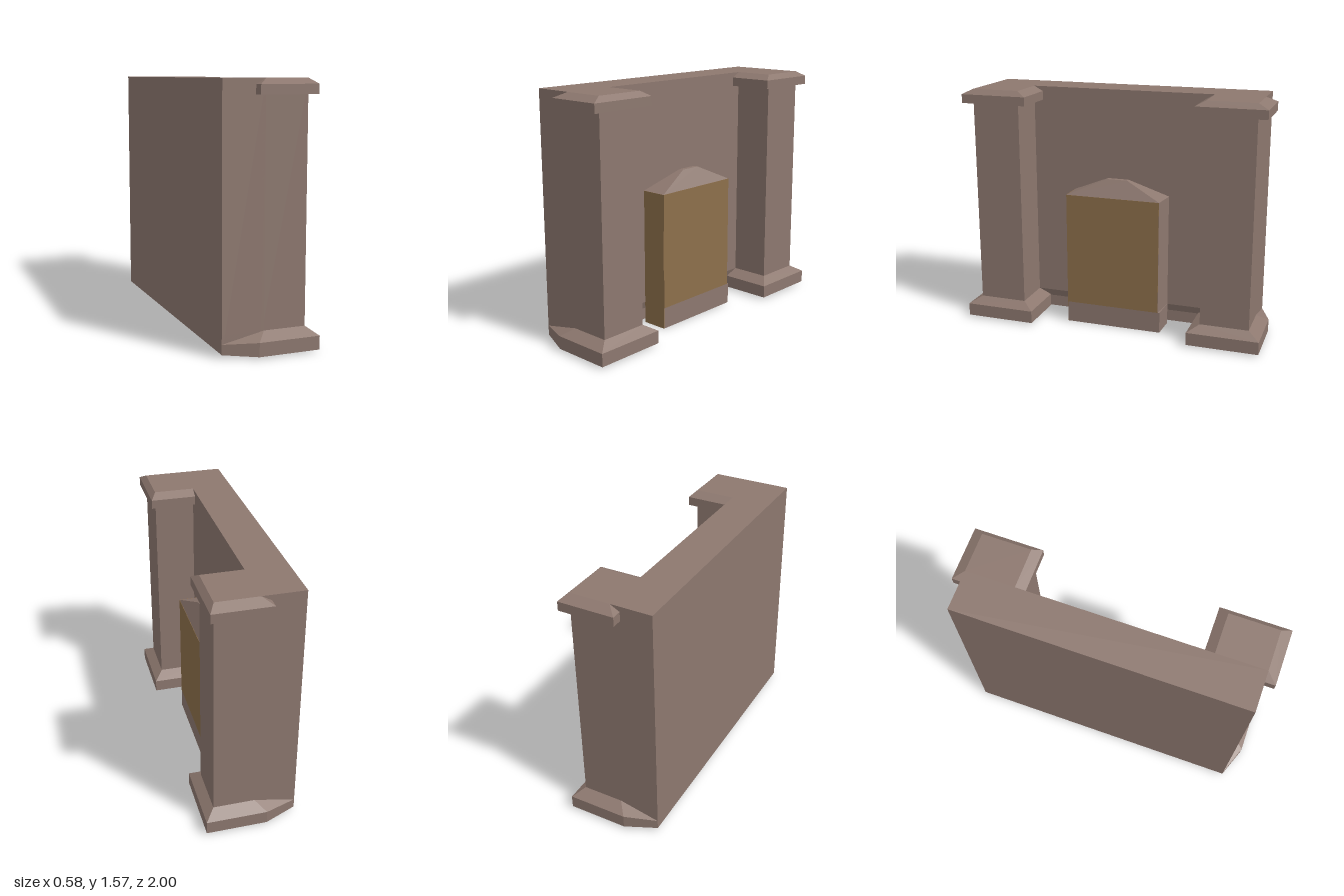
import * as THREE from 'three';

const stone = new THREE.MeshStandardMaterial({ color: 0x8d786f, flatShading: true });
const wood = new THREE.MeshStandardMaterial({ color: 0x8d6f4b, flatShading: true });

// Closed solid through rings of [x, y, z] corners, listed from bottom to top
function loft(rings) {
  const pos = [], first = rings[0], n = first.length;
  let area = 0;
  first.forEach((p, i) => {
    const q = first[(i + 1) % n];
    area += p[0] * q[2] - q[0] * p[2];
  });
  const tri = (a, b, c) => (area > 0 ? pos.push(...a, ...c, ...b) : pos.push(...a, ...b, ...c));
  for (let r = 0; r < rings.length - 1; r++) {
    const a = rings[r], b = rings[r + 1];
    for (let i = 0; i < n; i++) {
      const j = (i + 1) % n;
      tri(a[i], a[j], b[j]);
      tri(a[i], b[j], b[i]);
    }
  }
  const top = rings[rings.length - 1];
  for (let i = 1; i < n - 1; i++) {
    tri(first[0], first[i + 1], first[i]);
    tri(top[0], top[i], top[i + 1]);
  }
  const g = new THREE.BufferGeometry();
  g.setAttribute('position', new THREE.Float32BufferAttribute(pos, 3));
  g.computeVertexNormals();
  return g;
}

const rect = (x0, x1, z0, z1, y) => [[x0, y, z1], [x1, y, z1], [x1, y, z0], [x0, y, z0]];

export function createModel() {
  const model = new THREE.Group();
  const add = (name, geometry, material = stone, parent = model) => {
    const mesh = new THREE.Mesh(geometry, material);
    mesh.name = name;
    parent.add(mesh);
    return mesh;
  };

  // Back wall, with a small undercut along its foot
  const profile = new THREE.Shape([
    [-0.29, 0.025], [-0.09, 0.012], [-0.05, 0.015], [-0.05, 0.09],
    [-0.03, 0.14], [-0.03, 1.57], [-0.29, 1.57],
  ].map(([x, y]) => new THREE.Vector2(x, y)));
  const wall = new THREE.ExtrudeGeometry(profile, { depth: 1.85, bevelEnabled: false });
  add('backWall', wall.translate(0, 0, -0.925));

  // Pillars with bevelled foot and cap, one at each end
  for (const s of [1, -1]) {
    const pillar = new THREE.Group();
    pillar.name = s > 0 ? 'leftPillar' : 'rightPillar';
    model.add(pillar);
    const side = (rings) => loft(rings.map((ring) => ring.map(([x, y, z]) => [x, y, z * s])));

    add('pillarShaft', side([
      rect(-0.05, 0.23, 0.61, 0.925, 0.1),
      rect(-0.05, 0.23, 0.61, 0.925, 1.569),
    ]), stone, pillar);

    // The foot tapers into the wall's rear corner
    const foot = (rear, y) => [
      [-0.29, rear, 0.925], [-0.09, y, 1], [0.29, y, 1],
      [0.29, y, 0.535], [-0.09, y, 0.535], [-0.29, rear, 0.535],
    ];
    add('pillarFoot', side([
      foot(0.025, 0.012),
      foot(0.085, 0.095),
      [[-0.29, 0.14, 0.925], [-0.03, 0.14, 0.925], [0.23, 0.14, 0.925],
        [0.23, 0.14, 0.61], [-0.03, 0.14, 0.61], [-0.29, 0.14, 0.61]],
    ]), stone, pillar);

    add('pillarCap', side([
      rect(-0.09, 0.265, 0.55, 0.99, 1.48),
      rect(-0.09, 0.265, 0.55, 0.99, 1.537),
      rect(-0.03, 0.23, 0.61, 0.925, 1.57),
    ]), stone, pillar);
  }

  // Central block with a hipped top; its front right corner is slightly cut back
  const block = (y, cut) => [
    [-0.032, y, 0.325], [0.139, y, 0.325], [0.139, y, cut], [-0.032, y, -0.325],
  ];
  add('centralBlock', loft([
    block(0, -0.318), block(0.14, -0.318), block(0.141, -0.306), block(0.89, -0.306),
    rect(0.04, 0.07, -0.07, 0.07, 1.0),
  ]));

  // Coloured panels on the front and left of the block
  const front = new THREE.BoxGeometry(0.004, 0.75, 0.63);
  add('frontPanel', front.translate(0.139, 0.515, 0.01), wood);
  const end = new THREE.BoxGeometry(0.17, 0.89, 0.004);
  add('sidePanel', end.translate(0.054, 0.445, 0.325), wood);

  return model;
}
